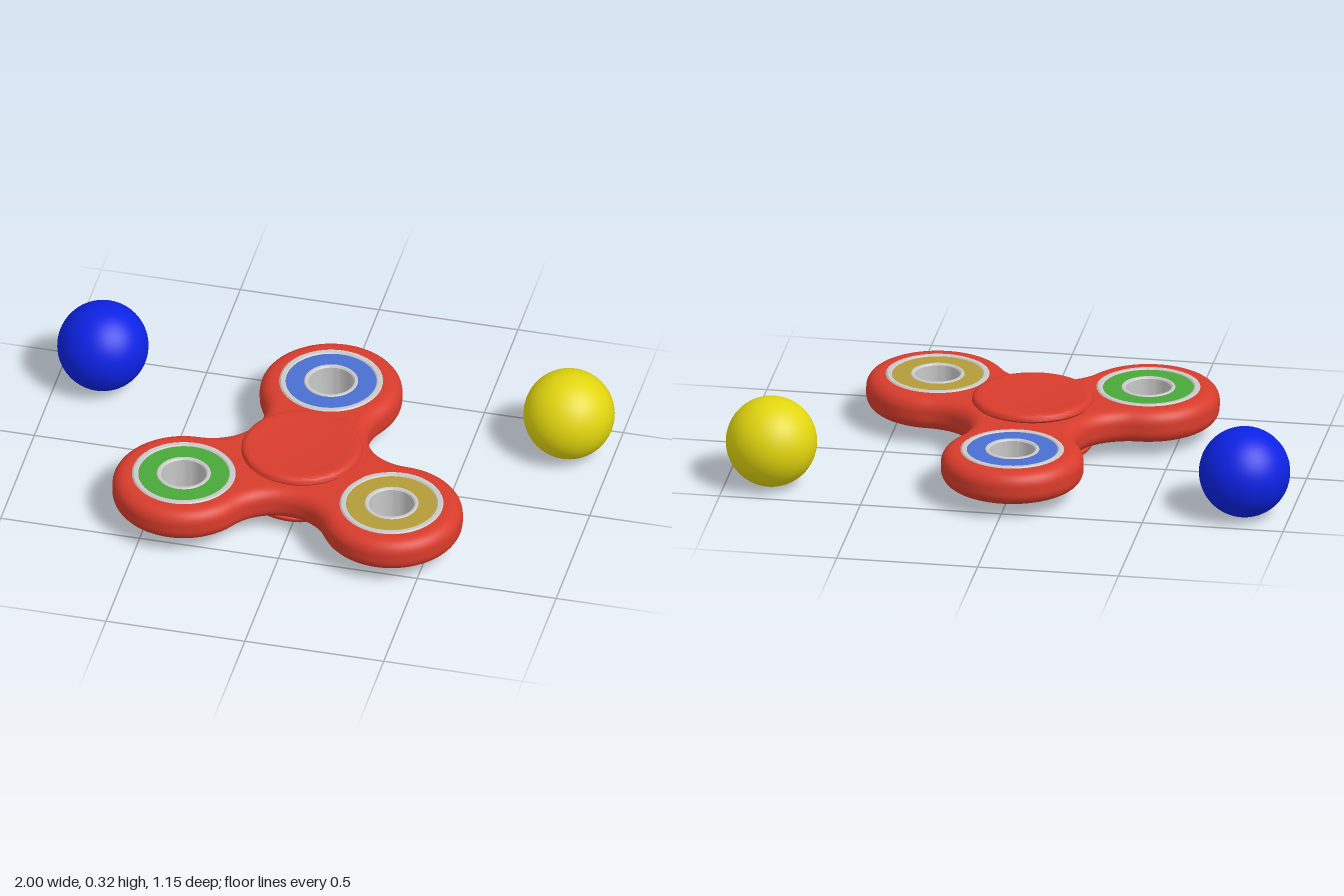
import * as THREE from 'three';
import { toCreasedNormals } from 'three/addons/utils/BufferGeometryUtils.js';

const mat = (name, color) => {
  const m = new THREE.MeshStandardMaterial({ color });
  m.name = name;
  return m;
};

const RAD = Math.PI / 180;
const REACH = 0.432;      // hub centre to lobe and fillet centres
const LOBE = 0.25;        // lobe radius
const FILLET = REACH - LOBE;
const BOTTOM = 0.056, TOP = 0.178, ROUND = 0.048;

// Three-lobed outline, moved inwards by inset
function outline(inset) {
  const pts = [];
  const arc = (centreAngle, r, from, to, n) => {
    const cx = REACH * Math.cos(centreAngle * RAD), cy = REACH * Math.sin(centreAngle * RAD);
    for (let i = 0; i < n; i++) {
      const a = (from + (to - from) * i / n) * RAD;
      pts.push(new THREE.Vector2(cx + r * Math.cos(a), cy + r * Math.sin(a)));
    }
  };
  for (let a = 90; a < 450; a += 120) {
    arc(a, LOBE - inset, a - 120, a + 120, 40);
    arc(a + 60, FILLET + inset, a - 60, a - 180, 20);
  }
  return pts;
}

// Rounded side wall lofted through inset outlines
function wallGeometry() {
  const levels = [];
  for (let i = 0; i <= 8; i++) {
    const a = (i / 8) * Math.PI / 2;
    levels.push([ROUND * (1 - Math.sin(a)), BOTTOM + ROUND * (1 - Math.cos(a))]);
  }
  for (let i = 8; i >= 0; i--) levels.push([levels[i][0], BOTTOM + TOP - levels[i][1]]);
  const pos = [], index = [];
  let n = 0;
  levels.forEach(([inset, h], j) => {
    const loop = outline(inset);
    n = loop.length;
    loop.forEach((p) => pos.push(p.x, h, -p.y));
    if (j === 0) return;
    for (let i = 0; i < n; i++) {
      const k = (i + 1) % n, lo = (j - 1) * n, hi = j * n;
      index.push(lo + i, lo + k, hi + k, lo + i, hi + k, hi + i);
    }
  });
  const g = new THREE.BufferGeometry();
  g.setAttribute('position', new THREE.Float32BufferAttribute(pos, 3));
  g.setIndex(index);
  g.computeVertexNormals();
  return g;
}

// Flat face with a round hole in each lobe
function faceGeometry() {
  const shape = new THREE.Shape(outline(ROUND));
  for (let a = 90; a < 450; a += 120) {
    const hole = new THREE.Path();
    hole.absarc(REACH * Math.cos(a * RAD), REACH * Math.sin(a * RAD), 0.182, 0, Math.PI * 2, true);
    shape.holes.push(hole);
  }
  return new THREE.ShapeGeometry(shape, 32);
}

// Ring with chamfered edges, reaching from y0 to y1
function ringGeometry(inner, outer, y0, y1, c) {
  const p = [
    [inner + c, y0], [outer - c, y0], [outer, y0 + c], [outer, y1 - c], [outer - c, y1],
    [inner + c, y1], [inner, y1 - c], [inner, y0 + c], [inner + c, y0],
  ].map(([x, y]) => new THREE.Vector2(x, y));
  return toCreasedNormals(new THREE.LatheGeometry(p, 64), 0.5);
}

// Finger button: rounded rim and a shallow dish
function buttonGeometry() {
  const p = [new THREE.Vector2(0, 0), new THREE.Vector2(0.205, 0), new THREE.Vector2(0.213, 0.008)];
  for (let i = 1; i <= 6; i++) {
    const a = (i / 6) * Math.PI / 2;
    p.push(new THREE.Vector2(0.19 + 0.023 * Math.cos(a), 0.009 + 0.021 * Math.sin(a)));
  }
  for (let i = 1; i <= 8; i++) {
    const t = 1 - i / 8;
    p.push(new THREE.Vector2(0.19 * t, 0.03 - 0.01 * (1 - t * t)));
  }
  return toCreasedNormals(new THREE.LatheGeometry(p, 64), 0.6);
}

export function createModel() {
  const red = mat('red plastic', 0xd83c2c);
  const silver = mat('silver metal', 0xc9c9c9);
  const ringColours = [
    mat('ring blue', 0x4b6fd2),
    mat('ring green', 0x4aa83a),
    mat('ring gold', 0xb49c3a),
  ];
  const blue = mat('ball blue', 0x0c22e4);
  const yellow = mat('ball yellow', 0xe2d60e);

  const model = new THREE.Group();
  model.name = 'spinnerWithBalls';
  const spinner = new THREE.Group();
  spinner.name = 'spinner';
  spinner.position.set(-0.01, 0, 0.106);
  model.add(spinner);

  const add = (parent, name, geometry, material, x = 0, y = 0, z = 0) => {
    const m = new THREE.Mesh(geometry, material);
    m.name = name;
    m.position.set(x, y, z);
    parent.add(m);
    return m;
  };

  // Body
  add(spinner, 'bodyWall', wallGeometry(), red);
  const face = faceGeometry();
  add(spinner, 'bodyTop', face, red, 0, TOP, 0).rotation.x = -Math.PI / 2;
  const under = face.clone().rotateY(Math.PI);
  add(spinner, 'bodyBottom', under, red, 0, BOTTOM, 0).rotation.x = -Math.PI / 2;

  // Hub and finger buttons
  add(spinner, 'hub', new THREE.CylinderGeometry(0.14, 0.14, 0.15, 48), red, 0, 0.117, 0);
  const button = buttonGeometry();
  add(spinner, 'topButton', button, red, 0, 0.185, 0);
  add(spinner, 'bottomButton', button, red, 0, 0.05, 0).rotation.x = Math.PI;

  // A bearing in each lobe
  const outerRing = ringGeometry(0.157, 0.182, 0.053, 0.181, 0.006);
  const colourRing = ringGeometry(0.094, 0.159, 0.056, 0.178, 0.001);
  const innerRing = ringGeometry(0.079, 0.097, 0.053, 0.181, 0.005);
  ringColours.forEach((colour, i) => {
    const a = (90 + 120 * i) * RAD;
    const bearing = new THREE.Group();
    bearing.name = 'bearing';
    bearing.position.set(REACH * Math.cos(a), 0, -REACH * Math.sin(a));
    add(bearing, 'outerRing', outerRing, silver);
    add(bearing, 'colourRing', colourRing, colour);
    add(bearing, 'innerRing', innerRing, silver);
    spinner.add(bearing);
  });

  // Balls
  const ball = new THREE.SphereGeometry(0.16, 48, 32);
  add(model, 'blueBall', ball, blue, -0.84, 0.162, -0.36);
  add(model, 'yellowBall', ball, yellow, 0.84, 0.162, -0.355);
  return model;
}
